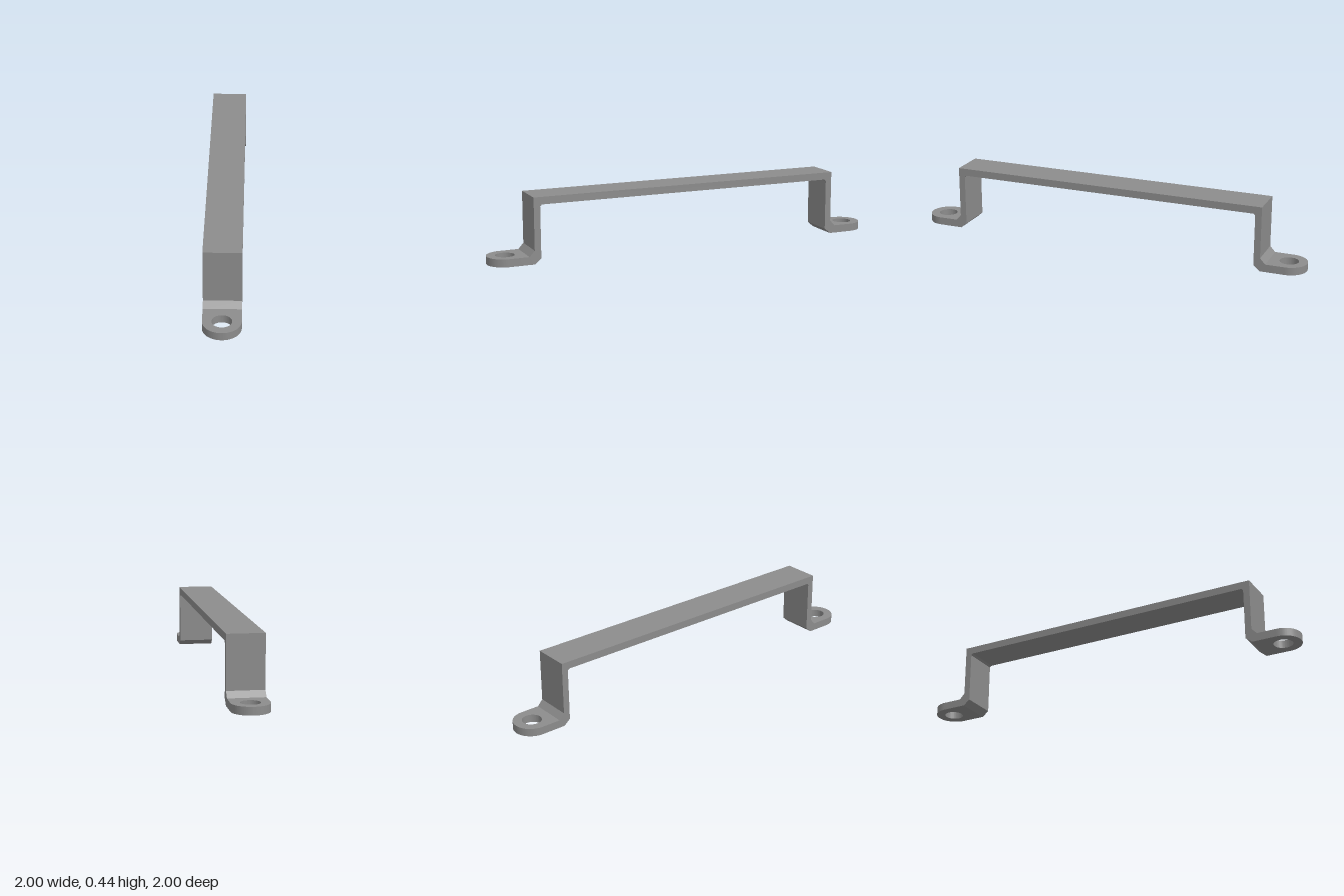
import * as THREE from 'three';
import { toCreasedNormals } from 'three/addons/utils/BufferGeometryUtils.js';

const WIDTH = 0.24;      // strap width
const EYE = 1.2445;      // distance of each screw hole from the middle
const HOLE = 0.0625;     // screw hole radius
const SEAM = 1.117;      // where the bent strap meets the flat foot
const FOOT = 0.052;      // foot thickness

export function createModel() {
  const steel = new THREE.MeshStandardMaterial({ color: 0x8c8c8c });
  steel.name = 'grey steel';

  const model = new THREE.Group();
  model.name = 'pullHandle';

  // bent strap: half profile, mirrored, extruded across the width
  const half = [
    [1.082, 0.435], [1.082, 0.09], [SEAM, FOOT], [SEAM, 0], [1.082, 0],
    [1.039, 0.036], [1.039, 0.375], [1.027, 0.386],
  ];
  const points = [...half, ...half.map(([x, y]) => [-x, y]).reverse()];
  const profile = new THREE.Shape(points.map(([x, y]) => new THREE.Vector2(x, y)));
  const strapGeo = new THREE.ExtrudeGeometry(profile, { depth: WIDTH, bevelEnabled: false });
  strapGeo.translate(0, 0, -WIDTH / 2);
  const strap = new THREE.Mesh(strapGeo, steel);
  strap.name = 'strap';
  model.add(strap);

  // rounded foot with a screw hole
  const r = WIDTH / 2;
  const plan = new THREE.Shape();
  plan.moveTo(SEAM, -r);
  plan.lineTo(EYE, -r);
  plan.absarc(EYE, 0, r, -Math.PI / 2, Math.PI / 2, false);
  plan.lineTo(SEAM, r);
  plan.closePath();
  plan.holes.push(new THREE.Path().absarc(EYE, 0, HOLE, 0, Math.PI * 2, true));
  const footGeo = toCreasedNormals(
    new THREE.ExtrudeGeometry(plan, { depth: FOOT, bevelEnabled: false, curveSegments: 32 })
      .rotateX(-Math.PI / 2), 0.6);

  for (const [name, turn] of [['frontFoot', 0], ['backFoot', Math.PI]]) {
    const foot = new THREE.Mesh(footGeo, steel);
    foot.name = name;
    foot.rotation.y = turn;
    model.add(foot);
  }

  // the handle lies on the diagonal
  model.rotation.y = -Math.PI / 4;
  const root = new THREE.Group();
  root.name = 'handle';
  root.add(model);
  return root;
}
